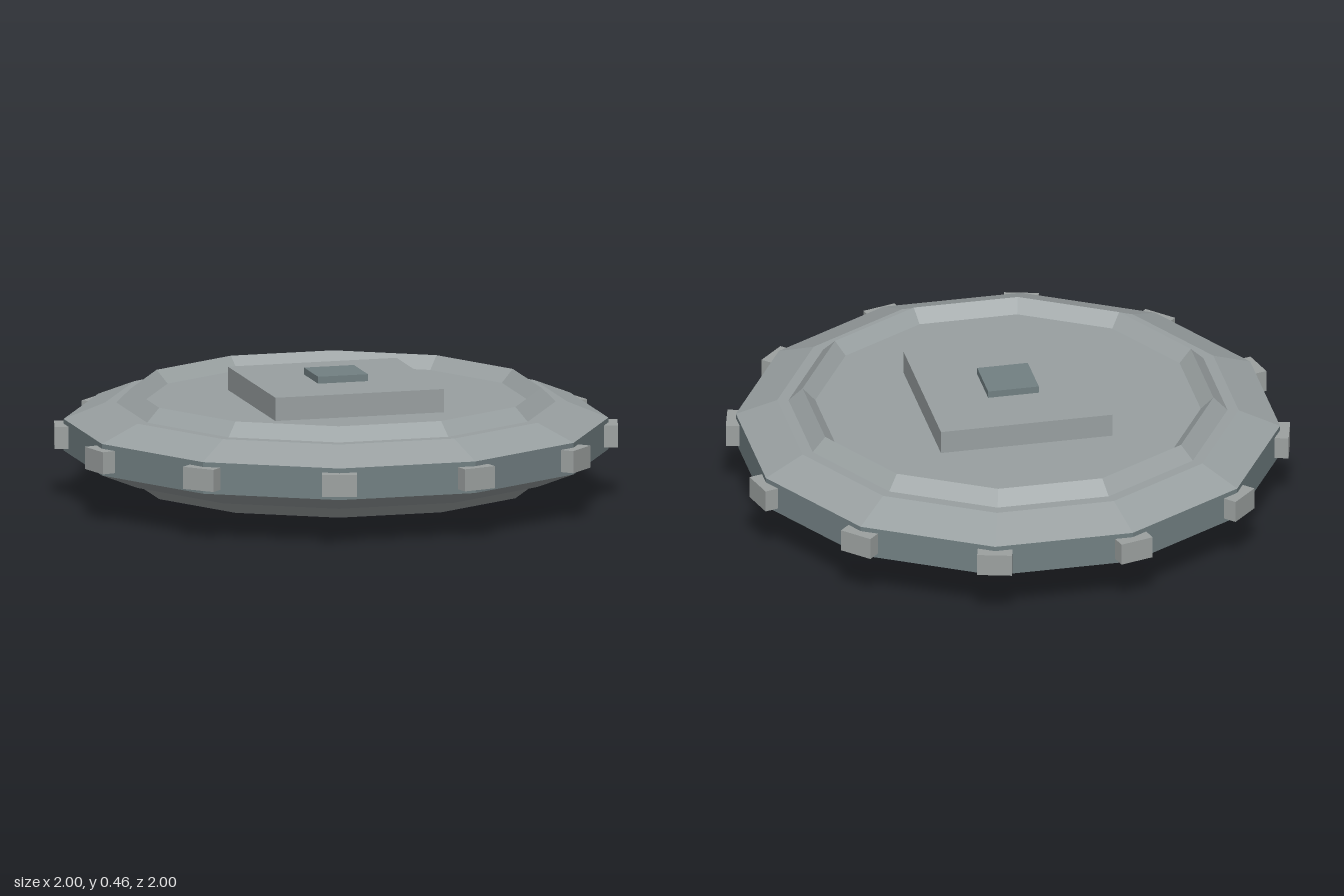
import * as THREE from 'three';

const SIDES = 12;
const MID = 0.228; // height of the mirror plane
const RIM_RADIUS = 0.967;
const RIM_HALF = 0.057;

export function createModel() {
  const group = new THREE.Group();
  const paint = (color) => new THREE.MeshStandardMaterial({ color, flatShading: true });
  const plating = paint(0x99a0a1);
  const darkMetal = paint(0x728083);
  const lugMetal = paint(0x9ca1a0);

  function add(geometry, material, name, y, parent = group) {
    const mesh = new THREE.Mesh(geometry, material);
    mesh.name = name;
    mesh.position.y = y;
    parent.add(mesh);
    return mesh;
  }

  // Dark upright rim
  add(new THREE.CylinderGeometry(RIM_RADIUS, RIM_RADIUS, RIM_HALF * 2, SIDES, 1, true),
    darkMetal, 'rim', MID);

  // Plating of one face (radius, height above the middle)
  const profile = [
    [RIM_RADIUS, RIM_HALF], // rim edge
    [0.82, 0.116],          // end of the sloped shoulder
    [0.78, 0.116],          // foot of the raised ring
    [0.73, 0.165],          // crest of the raised ring
    [0.685, 0.119],         // edge of the sunken floor
    [0, 0.119],
  ].map(([r, y]) => new THREE.Vector2(r, y));
  const face = new THREE.LatheGeometry(profile, SIDES);

  // Both faces, each with a stepped square hub whose corners lie on the axes
  for (const label of ['top', 'bottom']) {
    const half = new THREE.Group();
    half.name = label + 'Face';
    half.position.y = MID;
    if (label === 'bottom') half.rotation.x = Math.PI;
    group.add(half);

    const hub = (radius, from, to, material, name) =>
      add(new THREE.CylinderGeometry(radius, radius, to - from, 4), material, name,
        (from + to) / 2, half);
    add(face, plating, label + 'Plating', 0, half);
    hub(0.44, 0.1, 0.203, plating, label + 'HubPlate');
    hub(0.13, 0.19, 0.228, darkMetal, label + 'HubCap');
  }

  // Rim lugs, one on every corner of the disc
  const lugs = new THREE.Group();
  lugs.name = 'rimLugs';
  group.add(lugs);
  const lugGeometry = new THREE.BoxGeometry(0.124, 0.08, 0.1);
  for (let i = 0; i < SIDES; i++) {
    const angle = (i / SIDES) * Math.PI * 2;
    const lug = add(lugGeometry, lugMetal, 'rimLug', MID, lugs);
    lug.position.x = Math.sin(angle) * 0.95;
    lug.position.z = Math.cos(angle) * 0.95;
    lug.rotation.y = angle;
  }

  return group;
}
